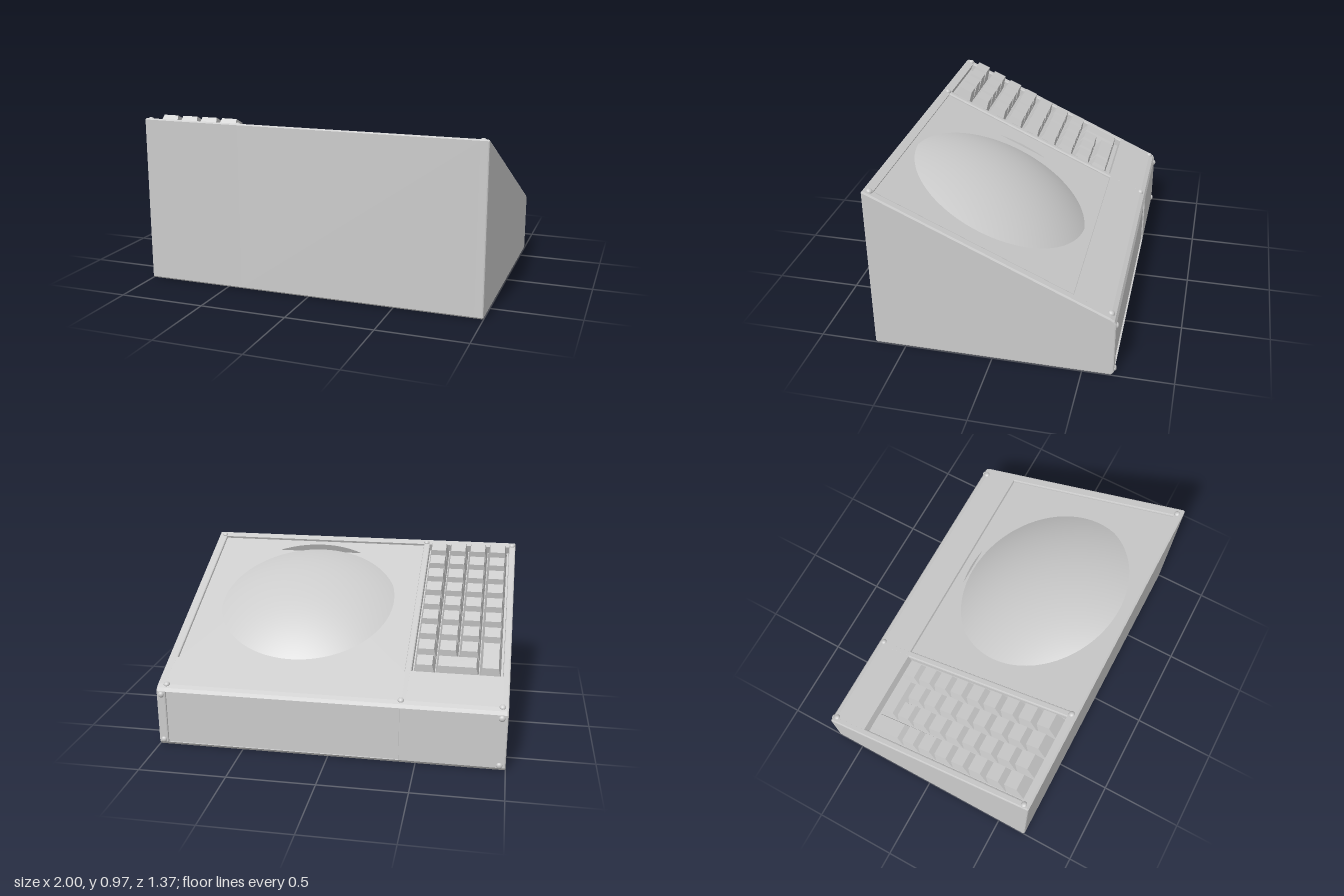
import * as THREE from 'three';

const mat = new THREE.MeshStandardMaterial({ color: 0xcccccc });
const SLOPE = 0.455, MID_Y = 0.66;
const ANGLE = Math.atan(SLOPE), C = Math.cos(ANGLE), S = Math.sin(ANGLE);

function add(parent, name, geometry, x = 0, y = 0, z = 0) {
  const mesh = new THREE.Mesh(geometry, mat);
  mesh.name = name;
  mesh.position.set(x, y, z);
  parent.add(mesh);
  return mesh;
}

// Point on the sloped face as [z, y]: s runs up the slope, h is height above it
const onSlope = (s, h) => [s * C - h * S, MID_Y + s * S + h * C];

// Wedge side profile, optionally with a trough cut in the slope and a recessed back
function wedgeProfile(trough, recessedBack) {
  const pts = [[0.67, 0], [0.68, 0.01], [0.68, 0.958], [0.67, 0.965]];
  if (trough) {
    const [s0, s1, depth] = trough;
    pts.push(onSlope(s1, 0), onSlope(s1, -depth), onSlope(s0, -depth), onSlope(s0, 0));
  }
  pts.push([-0.64, 0.369], [-0.664, 0.355], [-0.674, 0.335]);
  if (recessedBack) pts.push([-0.664, 0.335], [-0.664, 0.018]);
  pts.push([-0.674, 0.018], [-0.66, 0]);
  return new THREE.Shape(pts.map(([z, y]) => new THREE.Vector2(-z, y)));
}

// Extrude a profile across x, with an optional edge bevel
function slab(shape, x0, x1, bevel = 0) {
  const g = new THREE.ExtrudeGeometry(shape, {
    depth: x1 - x0 - 2 * bevel, bevelEnabled: bevel > 0, bevelThickness: bevel,
    bevelSize: bevel, bevelOffset: -bevel, bevelSegments: 2,
  });
  g.rotateY(Math.PI / 2);
  g.translate(x0 + bevel, 0, 0);
  return g;
}

// Tapered key cap: box with its top corners drawn in
function keyCap(width, length, height) {
  const g = new THREE.BoxGeometry(width, height, length);
  g.translate(0, height / 2, 0);
  const p = g.attributes.position;
  for (let i = 0; i < p.count; i++) {
    if (p.getY(i) < height / 2) continue;
    p.setX(i, p.getX(i) - Math.sign(p.getX(i)) * 0.015);
    p.setZ(i, p.getZ(i) - Math.sign(p.getZ(i)) * 0.02);
  }
  g.computeVertexNormals();
  return g;
}

function screwHead() {
  const g = new THREE.SphereGeometry(0.018, 16, 6, 0, Math.PI * 2, 0, Math.PI / 2);
  g.scale(1, 0.75, 1);
  return g;
}

export function createModel() {
  const model = new THREE.Group();
  model.name = 'slopedConsole';

  // Casing: full-height ribs with keyboard and screen bays between them
  const casing = new THREE.Group();
  casing.name = 'casing';
  model.add(casing);
  const full = wedgeProfile();
  const bevel = 0.008;
  add(casing, 'rightRib', slab(full, -1, -0.96, bevel));
  add(casing, 'middleRib', slab(full, -0.445, -0.405, bevel));
  add(casing, 'leftRib', slab(full, 0.945, 1, bevel));
  add(casing, 'keyboardBay', slab(wedgeProfile([-0.475, 0.69, 0.05]), -0.968, -0.437));
  add(casing, 'screenBay', slab(wedgeProfile([-0.482, 0.692, 0.1], true), -0.413, 0.953));

  // Everything on the slope is laid out flat in this tilted group
  const face = new THREE.Group();
  face.name = 'slopedFace';
  face.position.y = MID_Y;
  face.rotation.x = -ANGLE;
  model.add(face);

  // Screen surround with a round opening
  const cx = 0.272, cs = 0.115, radius = 0.55;
  const surround = new THREE.Shape([[-0.42, -0.488], [0.96, -0.488], [0.96, 0.698], [-0.42, 0.698]]
    .map(([x, s]) => new THREE.Vector2(x, -s)));
  surround.holes.push(new THREE.Path().absarc(cx, -cs, radius, 0, Math.PI * 2, true));
  const surroundGeo = new THREE.ExtrudeGeometry(surround, {
    depth: 0.064, bevelThickness: 0.006, bevelSize: 0.006, bevelOffset: -0.006,
    bevelSegments: 2, curveSegments: 64,
  });
  surroundGeo.rotateX(-Math.PI / 2);
  add(face, 'screenSurround', surroundGeo, 0, -0.084, 0);

  // Domed screen
  const domeR = 1.34;
  add(face, 'screen', new THREE.SphereGeometry(domeR, 72, 16, 0, Math.PI * 2, 0,
    Math.asin((radius + 0.006) / domeR)), cx, 0.055 - domeR, cs);

  // Keyboard: four columns by nine rows, with a tall and a wide key at the low end
  const keyboard = new THREE.Group();
  keyboard.name = 'keyboard';
  face.add(keyboard);
  const pitch = 0.125, gap = 0.004, floor = -0.051;
  const key = (col, row, cols = 1, rows = 1) => {
    const height = (0.01 + 0.0053 * (row + (rows - 1) / 2)) * C - floor;
    add(keyboard, 'key', keyCap(cols * pitch - gap, rows * pitch - gap, height),
      -0.95 + (col + cols / 2) * pitch, floor, -0.45 + (row + rows / 2) * pitch);
  };
  key(0, 0, 1, 2);
  key(1, 0, 2, 1);
  key(3, 0);
  for (let row = 1; row < 9; row++) {
    for (let col = row === 1 ? 1 : 0; col < 4; col++) key(col, row);
  }

  // Screws on the sloped face
  const head = screwHead();
  for (const [x, z] of [[-0.965, -0.655], [-0.41, -0.655], [0.945, -0.64],
    [-0.978, 0.645], [-0.422, 0.645], [0.962, 0.645]]) {
    add(face, 'faceScrew', head, x, 0, Math.max(z, -0.64) / C);
  }

  // Screws at the corners of the back
  for (const x of [-0.965, 0.972]) {
    for (const y of [0.032, 0.315]) {
      add(model, 'backScrew', head, x, y, -0.672).rotation.x = -Math.PI / 2;
    }
  }
  return model;
}
